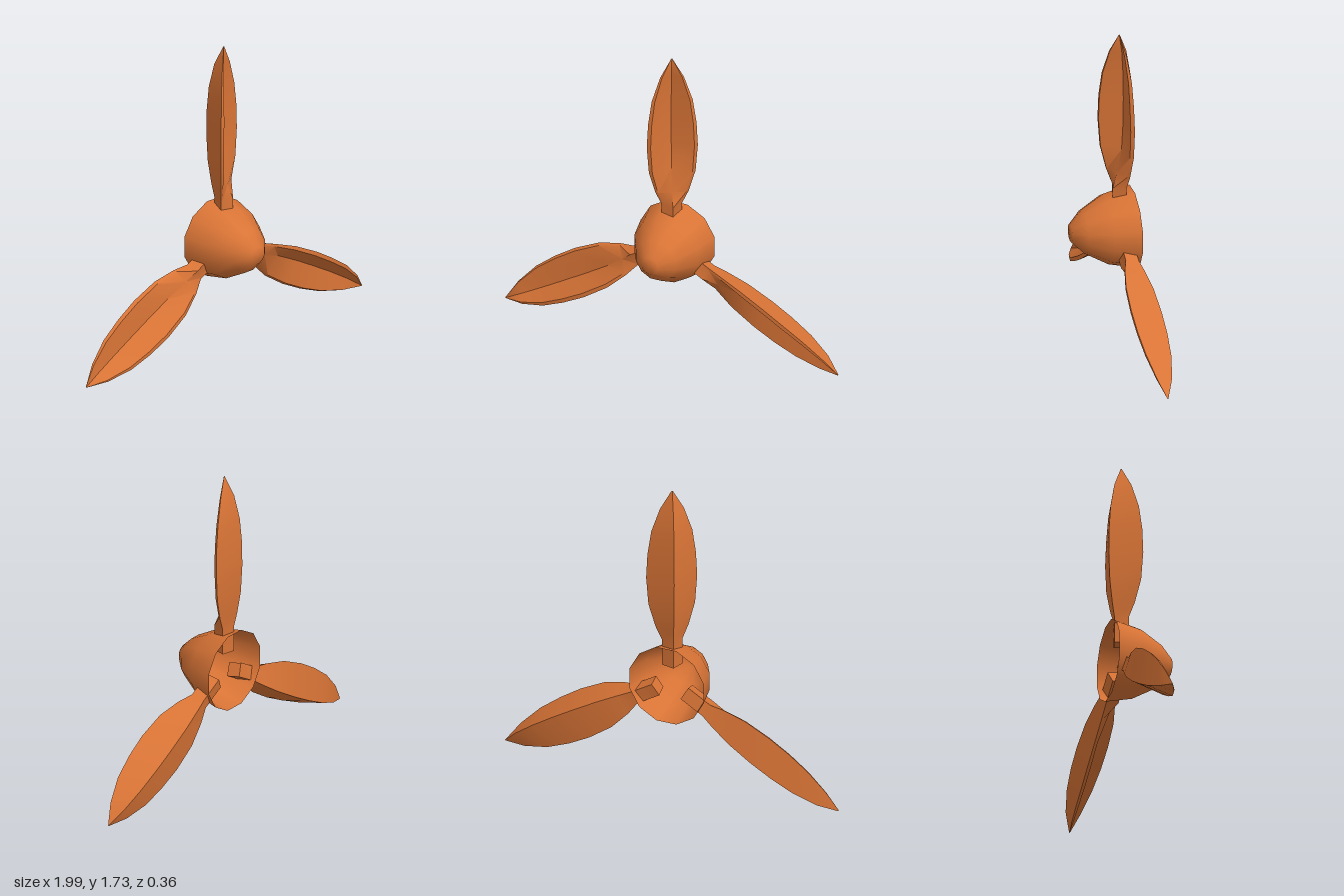
import * as THREE from 'three';
import { toCreasedNormals } from 'three/addons/utils/BufferGeometryUtils.js';

const AXIS_Y = 0.587, AXIS_X = -0.005, BLADE_Z = -0.095, PITCH = 0.553;

// Blade stations: radius, half chord, edge offset, front crease, back ridge
const STATIONS = [
  [0.10, 0.055, 0.000, 0.052, -0.055],
  [0.25, 0.055, 0.000, 0.052, -0.055],
  [0.33, 0.090, 0.010, 0.020, -0.072],
  [0.46, 0.127, 0.020, -0.018, -0.092],
  [0.62, 0.139, 0.024, -0.030, -0.100],
  [0.76, 0.132, 0.024, -0.032, -0.098],
  [0.90, 0.112, 0.019, -0.030, -0.086],
  [1.04, 0.065, 0.010, -0.020, -0.055],
  [1.15, 0.003, 0.000, -0.001, -0.004],
];

// Loft a six-sided leaf section (rounded edges, front crease, back ridge)
function bladeGeometry() {
  const pos = [], idx = [], n = 6;
  for (const [r, w, e, crease, ridge] of STATIONS) {
    const lip = e + w * 0.09;
    const ring = [[-w, e], [-0.86 * w, lip], [0, crease], [0.86 * w, lip], [w, e], [0, ridge]];
    for (const [c, d] of ring) pos.push(c, r, d);
  }
  for (let s = 0; s < STATIONS.length - 1; s++) {
    for (let i = 0; i < n; i++) {
      const a = s * n + i, b = s * n + (i + 1) % n;
      idx.push(a, b, b + n, a, b + n, a + n);
    }
  }
  // Root and tip caps
  const top = (STATIONS.length - 1) * n;
  for (let i = 1; i < n - 1; i++) {
    idx.push(0, i + 1, i);
    idx.push(top, top + i, top + i + 1);
  }
  const geo = new THREE.BufferGeometry();
  geo.setAttribute('position', new THREE.Float32BufferAttribute(pos, 3));
  geo.setIndex(idx);
  geo.rotateY(PITCH);
  return toCreasedNormals(geo, 0.75);
}

export function createModel() {
  const propeller = new THREE.Group();
  propeller.name = 'propeller';
  propeller.position.set(AXIS_X, AXIS_Y, 0);
  const material = new THREE.MeshStandardMaterial({ color: 0xd97436, side: THREE.DoubleSide });

  // Hollow nose cone, open at the back
  const profile = [[0.229, -0.168], [0.195, -0.02], [0.122, 0.108], [0.05, 0.18], [0, 0.18]]
    .map(([r, z]) => new THREE.Vector2(r, z));
  const hub = new THREE.Mesh(new THREE.LatheGeometry(profile, 12, Math.PI / 12), material);
  hub.geometry.rotateX(Math.PI / 2);
  hub.name = 'noseCone';
  propeller.add(hub);

  // Three pitched blades around the hub
  const geometry = bladeGeometry();
  ['topBlade', 'rightBlade', 'leftBlade'].forEach((name, i) => {
    const blade = new THREE.Mesh(geometry, material);
    blade.name = name;
    blade.position.z = BLADE_Z;
    blade.rotation.z = i * Math.PI * 2 / 3;
    propeller.add(blade);
  });

  const model = new THREE.Group();
  model.add(propeller);
  return model;
}
